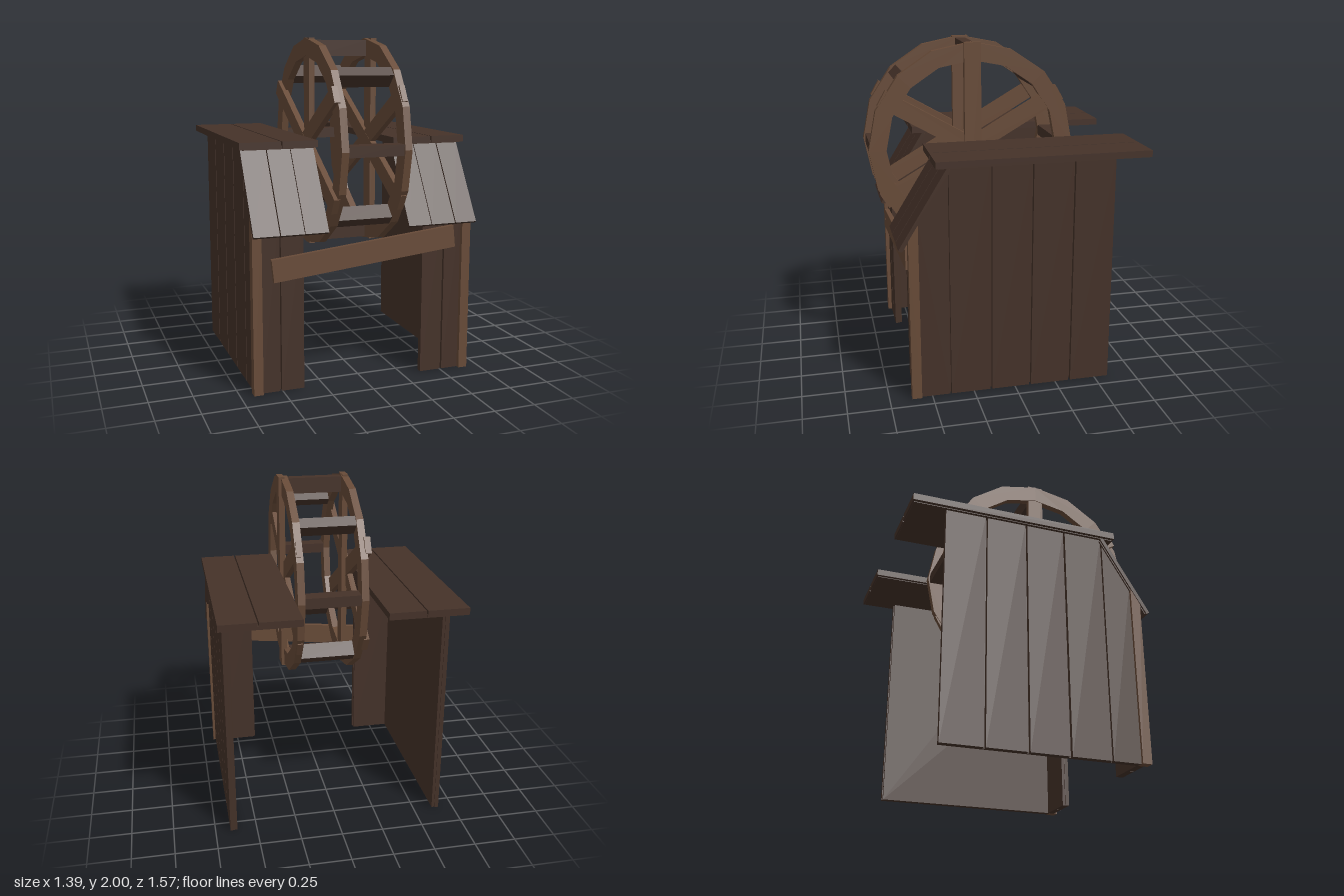
import * as THREE from 'three';

const darkWood = new THREE.MeshStandardMaterial({ color: 0x453229 });
const lightWood = new THREE.MeshStandardMaterial({ color: 0x684b38 });

const WHEEL_Y = 1.38, WHEEL_Z = 0.157, WHEEL_R = 0.62;

function add(parent, name, geometry, material) {
  const mesh = new THREE.Mesh(geometry, material);
  mesh.name = name;
  parent.add(mesh);
  return mesh;
}

// Box given by its minimum and maximum on each axis
function slab(parent, name, [x0, x1], [y0, y1], [z0, z1], material) {
  const mesh = add(parent, name, new THREE.BoxGeometry(x1 - x0, y1 - y0, z1 - z0), material);
  mesh.position.set((x0 + x1) / 2, (y0 + y1) / 2, (z0 + z1) / 2);
  return mesh;
}

// Outline of [z, y] points extruded along x
function sidePanel(parent, name, points, [x0, x1], material) {
  const shape = new THREE.Shape(points.map(([z, y]) => new THREE.Vector2(-z, y)));
  const geometry = new THREE.ExtrudeGeometry(shape, { depth: x1 - x0, bevelEnabled: false });
  geometry.rotateY(Math.PI / 2).translate(x0, 0, 0);
  return add(parent, name, geometry, material);
}

const ringPoints = (r) => Array.from({ length: 16 }, (_, i) => {
  const a = (i * Math.PI) / 8;
  return new THREE.Vector2(r * Math.cos(a), r * Math.sin(a));
});

// Rim with one upright and two diagonal beams
function wheelSide(name, rimX, uprightX, diagonalX) {
  const side = new THREE.Group();
  side.name = name;
  const shape = new THREE.Shape(ringPoints(WHEEL_R));
  shape.holes.push(new THREE.Path(ringPoints(0.515)));
  const rim = new THREE.ExtrudeGeometry(shape, { depth: rimX[1] - rimX[0], bevelEnabled: false });
  rim.rotateY(Math.PI / 2).translate(rimX[0], 0, 0);
  add(side, 'rim', rim, lightWood);
  [0, 1, -1].forEach((k) => {
    const [x0, x1] = k === 0 ? uprightX : diagonalX;
    // the two diagonals differ by a hair so that their faces do not coincide
    const thickness = x1 - x0 - (k === 1 ? 0.002 : 0);
    const spoke = add(side, 'spoke', new THREE.BoxGeometry(thickness, 2 * WHEEL_R, 0.1), lightWood);
    spoke.position.x = (x0 + x1) / 2;
    spoke.rotation.x = (k * Math.PI) / 3;
  });
  return side;
}

function waterWheel() {
  const wheel = new THREE.Group();
  wheel.name = 'waterWheel';
  wheel.position.set(0, WHEEL_Y, WHEEL_Z);
  wheel.add(wheelSide('leftWheelSide', [0.166, 0.209], [0.19, 0.226], [0.17, 0.205]));
  wheel.add(wheelSide('rightWheelSide', [-0.209, -0.166], [-0.205, -0.17], [-0.232, -0.195]));
  // Paddles set radially between the rims
  for (let i = 0; i < 8; i++) {
    const a = (i * Math.PI) / 4;
    const paddle = add(wheel, 'paddle', new THREE.BoxGeometry(0.335, 0.095, 0.064), darkWood);
    paddle.position.set(0, 0.56 * Math.cos(a), 0.56 * Math.sin(a));
    paddle.rotation.x = a;
  }
  return wheel;
}

// Side wall, front wall and corner post; s = 1 or -1 selects the side
function walls(s) {
  const group = new THREE.Group();
  group.name = s > 0 ? 'leftWalls' : 'rightWalls';
  const span = (a, b) => (s > 0 ? [a, b] : [-b, -a]);

  // Side wall: smooth backing with planks outside
  sidePanel(group, 'sideBacking',
    [[0.56, 0], [0.56, 1.08], [0.385, 1.375], [-0.58, 1.375], [-0.58, 0]], span(0.618, 0.635), darkWood);
  const edges = [0.385, 0.146, -0.094, -0.34, -0.585];
  sidePanel(group, 'sidePlank', [[0.562, 0], [0.562, 1.08], [0.394, 1.365], [0.394, 0]],
    span(0.635, 0.66), darkWood);
  for (let i = 0; i < 4; i++) {
    const front = edges[i] - (i ? 0.006 : 0), back = edges[i + 1] + (i < 3 ? 0.006 : 0);
    slab(group, 'sidePlank', span(0.635, 0.66), [0, 1.38], [back, front], darkWood);
  }

  // Front wall
  slab(group, 'frontBacking', span(0.375, 0.62), [0, 1.06], [0.553, 0.57], darkWood);
  slab(group, 'frontPlank', span(0.37, 0.504), [0, 1.01], [0.57, 0.596], darkWood);
  slab(group, 'frontPlank', span(0.514, 0.62), [0, 1.01], [0.57, 0.596], darkWood);
  sidePanel(group, 'cornerPost', [[0.62, 0], [0.62, 0.98], [0.563, 1.07], [0.563, 0]],
    span(0.62, 0.675), lightWood);
  return group;
}

// Flat roof planks and the sloping apron in front of them
function roof(name, topPlanks, apronPlanks) {
  const group = new THREE.Group();
  group.name = name;
  topPlanks.forEach((x) => slab(group, 'roofPlank', x, [1.38, 1.42], [-0.788, 0.462], darkWood));
  slab(group, 'roofBacking', [topPlanks[0][0] + 0.02, topPlanks[1][1] - 0.02],
    [1.376, 1.395], [-0.78, 0.455], darkWood);

  const apron = new THREE.Group();
  apron.name = 'frontApron';
  apron.position.set(0, 1.147, 0.524);
  apron.rotation.x = -Math.atan2(0.28, 0.455);
  apronPlanks.forEach((x) => slab(apron, 'apronPlank', x, [-0.267, 0.267], [-0.008, 0.014], darkWood));
  slab(apron, 'apronBacking', [apronPlanks[0][0] + 0.01, apronPlanks[2][1] - 0.01],
    [-0.262, 0.262], [-0.014, -0.006], darkWood);
  group.add(apron);
  return group;
}

export function createModel() {
  const model = new THREE.Group();
  model.name = 'waterMill';
  model.add(waterWheel(), walls(1), walls(-1));
  model.add(roof('leftRoof', [[0.234, 0.474], [0.482, 0.695]],
    [[0.245, 0.388], [0.392, 0.54], [0.546, 0.68]]));
  model.add(roof('rightRoof', [[-0.698, -0.456], [-0.448, -0.238]],
    [[-0.68, -0.53], [-0.524, -0.387], [-0.383, -0.245]]));

  // Tilted board nailed across the front
  const board = add(model, 'crossBoard', new THREE.BoxGeometry(1.13, 0.132, 0.03), lightWood);
  board.position.set(0.003, 0.775, 0.61);
  board.rotation.z = 0.106;
  return model;
}
